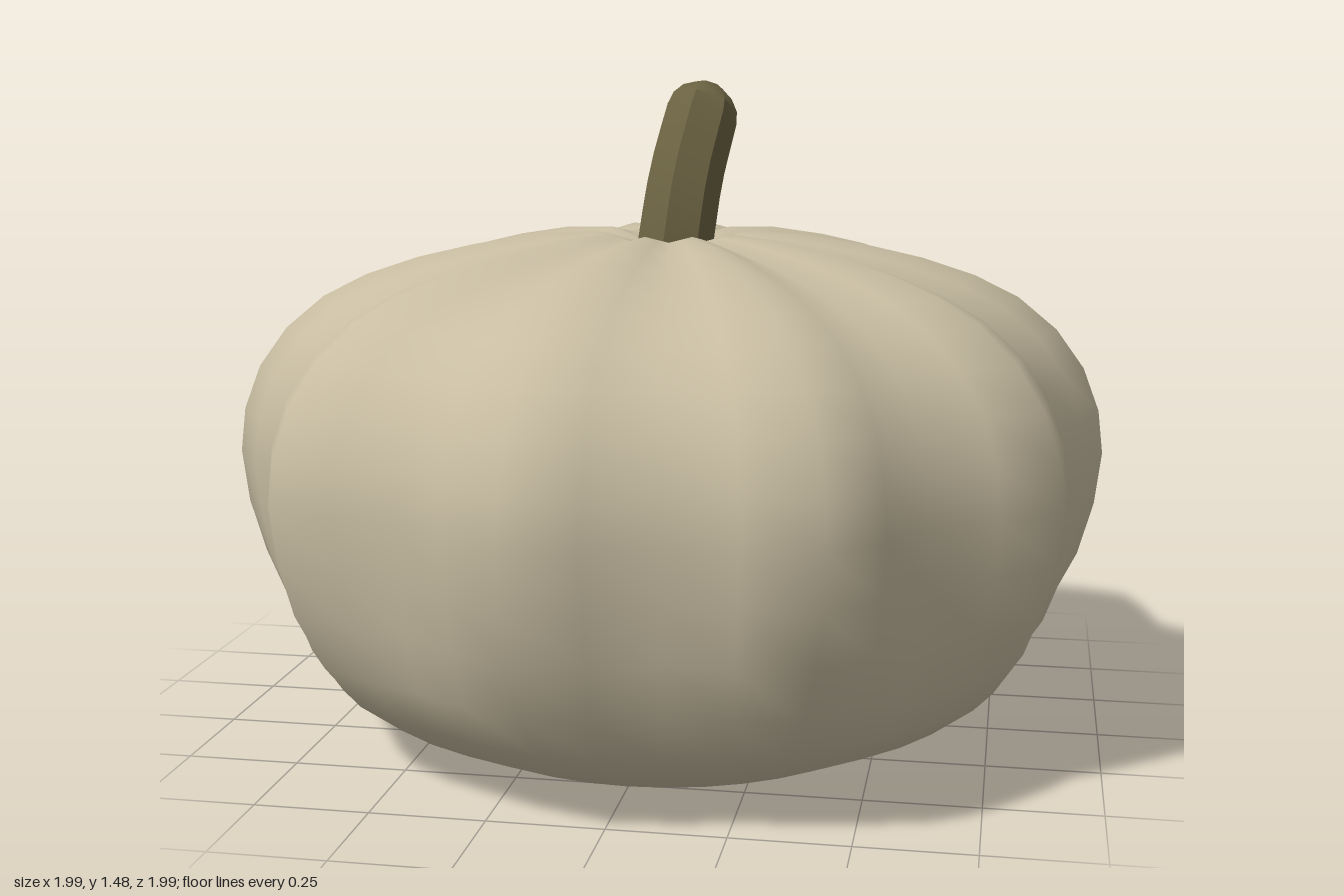
import * as THREE from 'three';
import { mergeVertices, toCreasedNormals } from 'three/addons/utils/BufferGeometryUtils.js';

const skin = new THREE.MeshStandardMaterial({ name: 'pale skin', color: 0xc8bda2 });
const bark = new THREE.MeshStandardMaterial({ name: 'olive stem', color: 0x6b6242 });

const LOBES = 10;
const SEGMENTS = 40;

// Squashed round body, turned from a profile and pinched into lobes
function bodyGeometry() {
  const profile = [
    [0, 0], [0.28, 0.003], [0.535, 0.01], [0.71, 0.09], [0.81, 0.165], [0.89, 0.265],
    [0.955, 0.39], [0.99, 0.51], [1.005, 0.63], [0.993, 0.73], [0.955, 0.83], [0.89, 0.92],
    [0.8, 0.995], [0.7, 1.045], [0.58, 1.085], [0.45, 1.115], [0.3, 1.14], [0.17, 1.147],
    [0.09, 1.125], [0, 1.09],
  ].map(([r, y]) => new THREE.Vector2(r, y));
  let geo = new THREE.LatheGeometry(profile, SEGMENTS);
  geo.deleteAttribute('uv');
  geo.deleteAttribute('normal');

  const pos = geo.attributes.position;
  for (let i = 0; i < pos.count; i++) {
    const x = pos.getX(i), y = pos.getY(i), z = pos.getZ(i);
    const angle = Math.atan2(-z, x) - Math.PI / 20;
    const groove = (1 - Math.cos(LOBES * angle)) / 2;
    const fade = THREE.MathUtils.smoothstep(y, 0, 0.55); // grooves vanish underneath
    const top = THREE.MathUtils.smoothstep(y, 0.8, 1.1);
    const k = 1 - 0.107 * groove * fade;
    const drop = 0.025 * groove * top * Math.min(1, Math.hypot(x, z) / 0.3);
    pos.setXYZ(i, x * k, y - drop, z * k);
  }
  geo = mergeVertices(geo, 1e-4);
  geo.computeVertexNormals();
  return geo;
}

// Seven-sided stem with a domed tip, bent along a leaning curve
function stemGeometry() {
  const path = new THREE.CatmullRomCurve3([
    new THREE.Vector3(0, 1.05, 0),
    new THREE.Vector3(0.012, 1.15, -0.013),
    new THREE.Vector3(0.026, 1.27, -0.052),
    new THREE.Vector3(0.05, 1.4, -0.118),
  ]);
  const length = path.getLength();
  const profile = [];
  for (let i = 0; i <= 6; i++) profile.push(new THREE.Vector2(0.09 - 0.004 * i / 6, length * i / 6));
  for (let i = 1; i <= 4; i++) {
    const a = (i / 4) * Math.PI / 2;
    profile.push(new THREE.Vector2(0.086 * Math.cos(a), length + 0.085 * Math.sin(a)));
  }
  const geo = new THREE.LatheGeometry(profile, 7, Math.PI / 4);
  const pos = geo.attributes.position;
  const up = new THREE.Vector3(0, 1, 0);
  const turn = new THREE.Quaternion();
  for (let i = 0; i < pos.count; i++) {
    const s = pos.getY(i);
    const u = Math.min(1, s / length);
    const tangent = path.getTangentAt(u);
    turn.setFromUnitVectors(up, tangent);
    const p = new THREE.Vector3(pos.getX(i), 0, pos.getZ(i)).applyQuaternion(turn);
    p.add(path.getPointAt(u)).addScaledVector(tangent, Math.max(0, s - length));
    pos.setXYZ(i, p.x, p.y, p.z);
  }
  return toCreasedNormals(geo, 0.8);
}

export function createModel() {
  const model = new THREE.Group();
  model.name = 'pumpkin';

  const body = new THREE.Mesh(bodyGeometry(), skin);
  body.name = 'body';
  const stem = new THREE.Mesh(stemGeometry(), bark);
  stem.name = 'stem';

  model.add(body, stem);
  return model;
}
